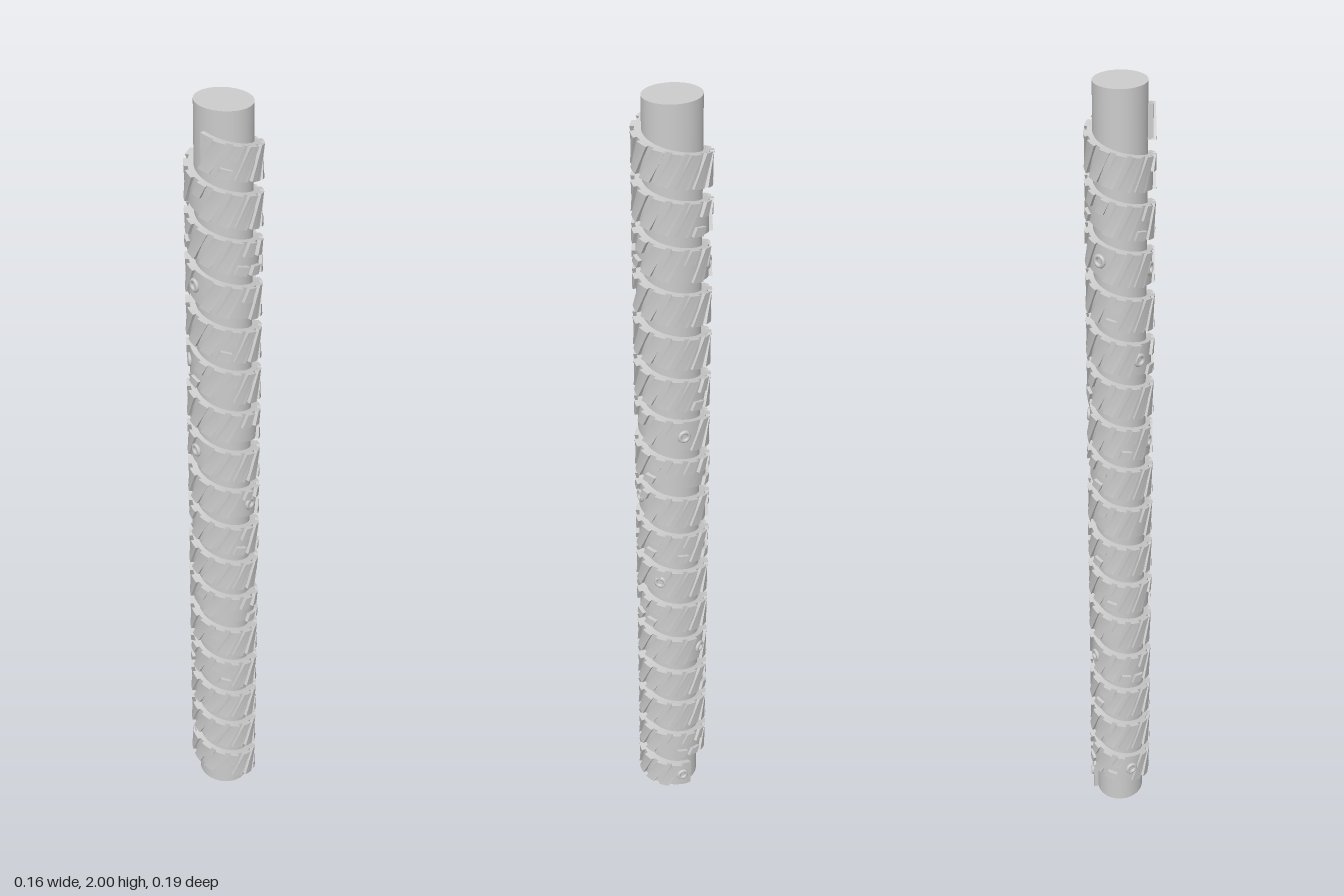
import * as THREE from 'three';
import { mergeGeometries } from 'three/addons/utils/BufferGeometryUtils.js';

const TAU = Math.PI * 2;
const PITCH = 0.113;
const BAND = 0.08;               // height of the wound strip
const START = -1.6;              // angle where the strip begins, 0 = front
const END = 16 * TAU + 1.9;
const CENTRE_Z = -0.002;

// Helical frame: angle, height across the strip, depth outside the core
function wind(a, v, d) {
  return new THREE.Vector3(
    Math.sin(a) * (0.061 + d),
    1.88 - (PITCH * a) / TAU + v,
    Math.cos(a) * (0.068 + 1.3 * d) + CENTRE_Z
  );
}

// Box bent around the core; lean shifts its upper edge along the strip
function woundBox(a0, a1, v0, v1, d0, d1, segments, lean = 0) {
  const g = new THREE.BoxGeometry(1, 1, 1, segments, 1, 1);
  const p = g.attributes.position;
  for (let i = 0; i < p.count; i++) {
    const v = THREE.MathUtils.lerp(v0, v1, p.getY(i) + 0.5);
    const a = THREE.MathUtils.lerp(a0, a1, p.getX(i) + 0.5) + lean * v / BAND;
    const d = THREE.MathUtils.lerp(d0, d1, p.getZ(i) + 0.5);
    // Cancel the drop caused by leaning, so ends follow the strip edges
    const q = wind(a, v, d);
    p.setXYZ(i, q.x, Math.max(0, q.y), q.z);
  }
  g.computeVertexNormals();
  return g;
}

function seeded(seed) {
  return () => {
    seed = (seed * 16807) % 2147483647;
    return seed / 2147483647;
  };
}

export function createModel() {
  const group = new THREE.Group();
  const material = new THREE.MeshStandardMaterial({ color: 0xcccccc });
  const add = (name, geometry) => {
    const mesh = new THREE.Mesh(geometry, material);
    mesh.name = name;
    group.add(mesh);
    return mesh;
  };

  // Slightly oval core pole
  const core = new THREE.CylinderGeometry(1, 1, 2, 48);
  core.scale(0.061, 1, 0.068);
  core.translate(0, 1, CENTRE_Z);
  add('pole', core);

  // Strip wound from top to bottom
  add('spiralStrip', woundBox(START, END, -BAND / 2, BAND / 2, -0.006, 0.012, 640));

  // Ring studs as [angle, height], snapped to the nearest winding
  const studs = [
    [0, 0.93], [1.57, 1.21], [1.57, 0.04], [0.85, 0.68], [2.25, 0.43], [2.6, 1.61],
    [3.93, 1.35], [4.4, 1.12], [4.4, 1.57], [3.7, 0.12],
  ].map(([a, y]) => a + TAU * Math.round(((1.88 - y) / PITCH) - a / TAU));

  const rings = studs.map((a) => {
    const ring = new THREE.TorusGeometry(0.012, 0.005, 8, 20);
    const p = wind(a, 0, 0.013);
    const normal = new THREE.Vector3(Math.sin(a) / 0.073, 0, Math.cos(a) / 0.084).normalize();
    const turn = new THREE.Quaternion().setFromUnitVectors(new THREE.Vector3(0, 0, 1), normal);
    ring.applyQuaternion(turn);
    ring.translate(p.x, p.y, p.z);
    return ring;
  });
  add('ringStuds', mergeGeometries(rings));

  // Slanted tread bars, mostly full height, some shortened or split
  const random = seeded(7);
  const bars = [];
  const step = TAU / 13;
  const half = BAND / 2;
  for (let a = START + 0.35; a < END - 0.3; a += step) {
    const bar = (v0, v1, width = 0.66) => bars.push(woundBox(
      a - step * width / 2, a + step * width / 2, v0, v1, 0.008, 0.0195, 3, 0.42));
    const gap = Math.min(...studs.map((s) => Math.abs(s - a)));
    const pick = random();
    if (gap < 0.3) {
      if (gap > 0.16) bar(0.016, half, 0.5);
    } else if (pick < 0.78) {
      bar(-half, half);
    } else if (pick < 0.9) {
      bar(0.004, half, 0.55);
    } else {
      bar(-half, -0.018);
      bar(0.006, half, 0.55);
    }
  }
  add('treadBars', mergeGeometries(bars));

  return group;
}
